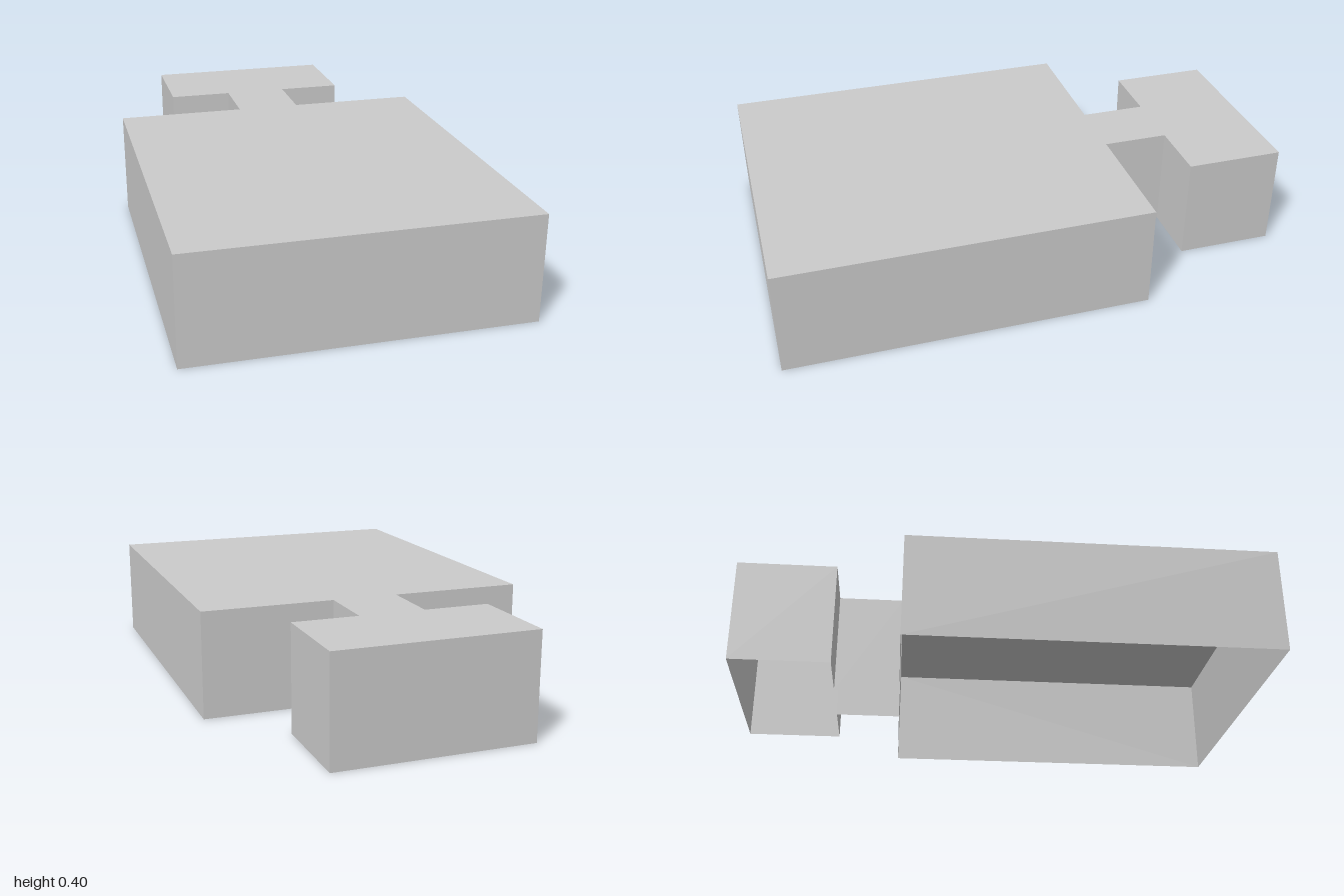
import * as THREE from 'three';

const HEIGHT = 0.4;

export function createModel() {
  const group = new THREE.Group();
  const material = new THREE.MeshStandardMaterial({
    color: 0xcccccc, flatShading: true, side: THREE.DoubleSide,
  });

  // Left half of the plan as (x, z), front to back: body, neck, head
  const half = [[0.625, 1], [0.625, -0.375], [0.125, -0.375], [0.125, -0.625], [0.375, -0.625], [0.375, -1]];
  const outline = [...half, ...half.map(([x, z]) => [-x, z]).reverse()];

  // Flat top cover
  const shape = new THREE.Shape(outline.map(([x, z]) => new THREE.Vector2(x, -z)));
  const cover = new THREE.Mesh(new THREE.ShapeGeometry(shape), material);
  cover.name = 'topCover';
  cover.rotation.x = -Math.PI / 2;
  cover.position.y = HEIGHT;
  group.add(cover);

  // Thin side walls along the outline; the underside stays open
  const walls = new THREE.Group();
  walls.name = 'sideWalls';
  outline.forEach(([x, z], i) => {
    const [nx, nz] = outline[(i + 1) % outline.length];
    const dx = nx - x, dz = nz - z;
    const wall = new THREE.Mesh(new THREE.PlaneGeometry(Math.hypot(dx, dz), HEIGHT), material);
    wall.name = 'wall';
    wall.position.set((x + nx) / 2, HEIGHT / 2, (z + nz) / 2);
    wall.rotation.y = Math.atan2(-dz, dx);
    walls.add(wall);
  });
  group.add(walls);

  return group;
}
